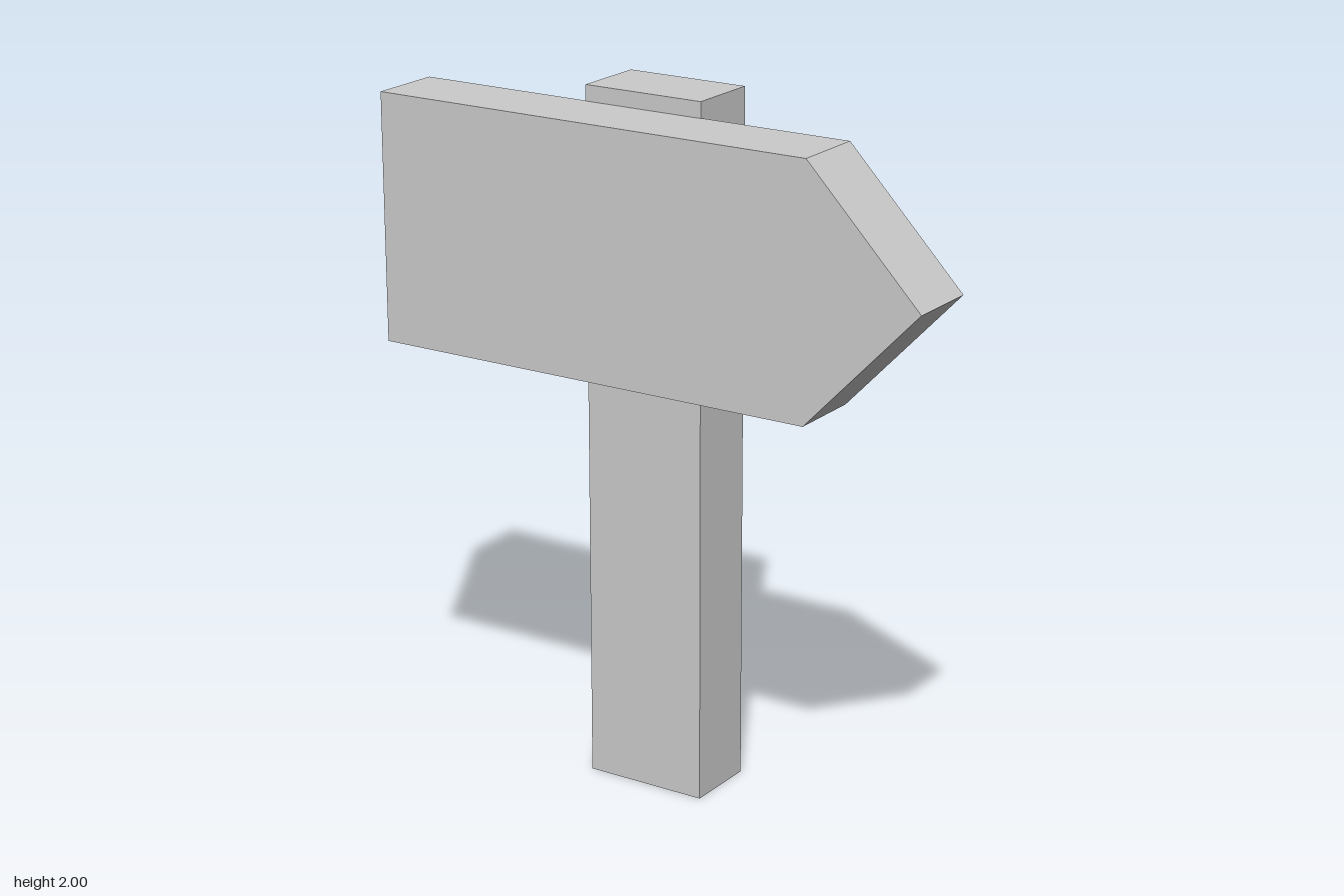
import * as THREE from 'three';

export function createModel() {
  const group = new THREE.Group();
  const material = new THREE.MeshStandardMaterial({ color: 0xcccccc, flatShading: true });

  // Upright post, set behind the board
  const post = new THREE.Mesh(new THREE.BoxGeometry(0.366, 2, 0.216), material);
  post.name = 'post';
  post.position.set(-0.13, 1, -0.106);
  group.add(post);

  // Arrow-shaped board pointing to +x
  const outline = new THREE.Shape([
    [-0.84, 1.25], [0.502, 1.25], [0.84, 1.603], [0.502, 1.955], [-0.84, 1.955],
  ].map(([x, y]) => new THREE.Vector2(x, y)));
  const board = new THREE.Mesh(
    new THREE.ExtrudeGeometry(outline, { depth: 0.216, bevelEnabled: false }), material);
  board.name = 'arrowBoard';
  board.position.z = -0.002;
  group.add(board);

  return group;
}
